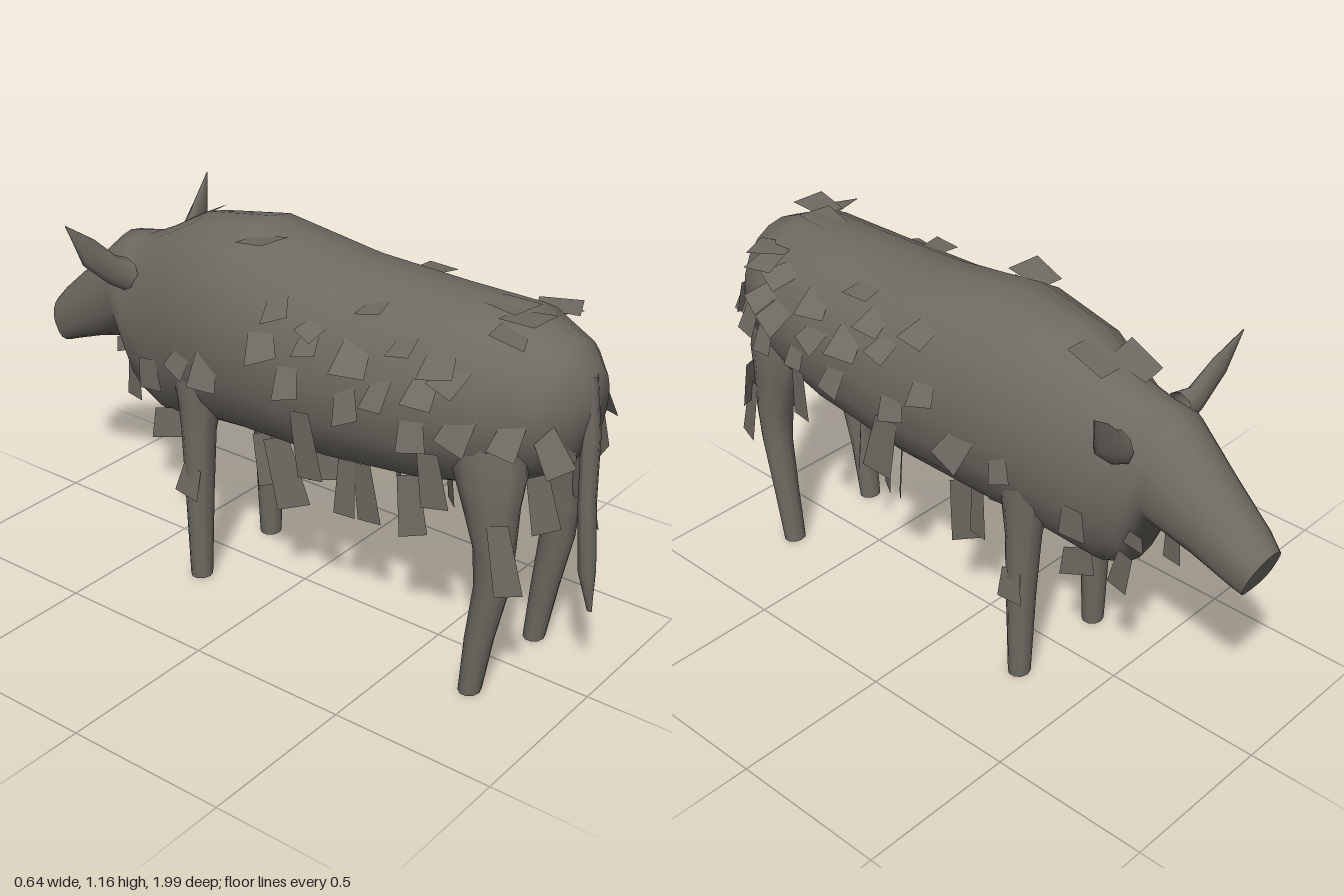
import * as THREE from 'three';
import { mergeGeometries } from 'three/addons/utils/BufferGeometryUtils.js';

const SEG = 20;

// Skin a list of rings (arrays of Vector3) and close the last one with a flat cap.
function loft(rings, flip = false) {
  const pos = [], idx = [];
  const tri = (a, b, c) => (flip ? idx.push(a, c, b) : idx.push(a, b, c));
  const n = rings[0].length;
  const push = (p) => pos.push(p.x, p.y, p.z);
  rings.forEach((r) => r.forEach(push));
  for (let k = 0; k < rings.length - 1; k++) {
    for (let j = 0; j < n; j++) {
      const a = k * n + j, b = k * n + ((j + 1) % n);
      tri(a, b, a + n);
      tri(b, b + n, a + n);
    }
  }
  const last = rings[rings.length - 1], base = pos.length / 3;
  const centre = last.reduce((s, p) => s.add(p), new THREE.Vector3()).divideScalar(n);
  [...last, centre].forEach(push);
  for (let j = 0; j < n; j++) tri(base + j, base + ((j + 1) % n), base + n);
  const g = new THREE.BufferGeometry();
  g.setAttribute('position', new THREE.Float32BufferAttribute(pos, 3));
  g.setIndex(idx);
  g.computeVertexNormals();
  return g;
}

const ringOf = (n, fn) => Array.from({ length: n }, (_, j) => fn((j / n) * Math.PI * 2));

// Upright limb from rows of [x, y, z, radius x, radius z], listed top to bottom.
const limb = (rows, side = 1, n = 10) => loft(rows.map(([x, y, z, rx, rz]) =>
  ringOf(n, (t) => new THREE.Vector3(side * x - rx * Math.sin(t), y, z + rz * Math.cos(t)))));

// Body sections, rump to muzzle: [top z, top y, bottom z, bottom y, half width, roundness].
const SECTIONS = [
  [0.954, 0.88, 0.954, 0.87, 0.001, 1], [0.94, 0.99, 0.93, 0.745, 0.1, 1], [0.88, 1.05, 0.86, 0.67, 0.175, 1],
  [0.74, 1.11, 0.72, 0.6, 0.24, 0.95], [0.5, 1.11, 0.5, 0.55, 0.262, 0.92],
  [0.2, 1.12, 0.2, 0.515, 0.272, 0.92], [-0.12, 1.165, -0.1, 0.505, 0.268, 0.92],
  [-0.36, 1.125, -0.3, 0.48, 0.23, 0.95], [-0.53, 1.03, -0.48, 0.435, 0.17, 1],
  [-0.62, 1.01, -0.57, 0.475, 0.15, 1], [-0.68, 0.995, -0.64, 0.66, 0.135, 0.9],
  [-0.82, 0.865, -0.79, 0.62, 0.106, 0.8], [-0.95, 0.75, -0.91, 0.577, 0.085, 0.7],
  [-0.998, 0.7, -0.945, 0.562, 0.07, 0.65],
];

const bodyRing = ([zt, yt, zb, yb, w, round]) => ringOf(SEG, (t) => {
  const c = Math.cos(t), s = Math.sin(t);
  const x = c < 0 ? Math.sign(s) * Math.abs(s) ** round : s;
  const y = c < 0 ? -(Math.abs(c) ** round) : c;
  return new THREE.Vector3(w * x, (yt + yb) / 2 + (y * (yt - yb)) / 2, (zt + zb) / 2 + (y * (zt - zb)) / 2);
});

// Top, bottom and half width of the body at a given z.
function sectionAt(z) {
  const mid = (s) => (s[0] + s[2]) / 2;
  let i = 0;
  while (i < SECTIONS.length - 2 && mid(SECTIONS[i + 1]) > z) i++;
  const a = SECTIONS[i], b = SECTIONS[i + 1];
  const f = THREE.MathUtils.clamp((mid(a) - z) / (mid(a) - mid(b)), 0, 1);
  return [1, 3, 4].map((k) => a[k] + (b[k] - a[k]) * f);
}

let seed = 7;
const rand = () => ((seed = (seed * 16807) % 2147483647) / 2147483647);
const jitter = (s) => (rand() - 0.5) * 2 * s;

// Tapered flat tuft hanging from root along dir, facing outward, turned by random twist and yaw.
function tuft(root, dir, out, w, h, twist = 0.25, yaw = 0) {
  const g = new THREE.PlaneGeometry(w, h);
  const p = g.attributes.position;
  for (let i = 0; i < 2; i++) p.setX(i, p.getX(i) * 0.75);
  g.translate(0, -h / 2, 0);
  g.rotateZ(jitter(twist));
  g.rotateY(jitter(yaw));
  const y = dir.clone().negate().normalize();
  const x = new THREE.Vector3().crossVectors(y, out).normalize();
  const z = new THREE.Vector3().crossVectors(x, y);
  return g.applyMatrix4(new THREE.Matrix4().makeBasis(x, y, z).setPosition(root));
}

// Tuft rooted on the flank at (z, y): flared on the upper side, hanging plumb below.
function flankTuft(side, z, y, w, h) {
  const [top, bottom, half] = sectionAt(z);
  const hh = (top - bottom) / 2;
  const c = THREE.MathUtils.clamp((y - (top + bottom) / 2) / hh, -0.9, 0.97);
  const s = Math.sqrt(1 - c * c);
  const low = c < -0.15;
  const out = new THREE.Vector3((side * s) / half, c / hh, z > 0.75 ? 2 : 0).normalize();
  const dir = low ? new THREE.Vector3(0, -1, 0.1)
    : new THREE.Vector3(side * c * half, -s * hh, 0.02).normalize().addScaledVector(out, 0.42);
  const root = new THREE.Vector3(side * half * s, (top + bottom) / 2 + c * hh, z).addScaledVector(out, low ? 0.005 : -0.012);
  if (low) out.setY(0);
  return tuft(root, dir, out, w, h, low ? 0.2 : 0.45, c < -0.8 ? 0.8 : 0.2);
}

export function createModel() {
  const model = new THREE.Group();
  const hide = new THREE.MeshStandardMaterial({ color: 0x6e6a62, side: THREE.DoubleSide });
  hide.name = 'greyBrownHide';
  const add = (name, geo) => {
    const m = new THREE.Mesh(geo, hide);
    m.name = name;
    model.add(m);
  };

  // Trunk, neck and head in one skin
  add('body', loft(SECTIONS.map(bodyRing)));

  // Tail
  add('tail', limb([
    [0, 0.97, 0.93, 0.02, 0.02], [0, 0.8, 0.945, 0.033, 0.025], [0, 0.6, 0.95, 0.03, 0.024],
    [0, 0.4, 0.965, 0.026, 0.026], [0.015, 0.265, 0.975, 0.004, 0.008]], 1, 8));

  for (const side of [1, -1]) {
    const label = side > 0 ? 'left' : 'right';
    // Legs, widening into the trunk
    add(label + 'HindLeg', limb([
      [0.15, 0.78, 0.73, 0.075, 0.11], [0.155, 0.7, 0.74, 0.082, 0.112], [0.165, 0.6, 0.755, 0.066, 0.085],
      [0.17, 0.48, 0.775, 0.056, 0.06], [0.17, 0.36, 0.775, 0.048, 0.052],
      [0.174, 0.18, 0.745, 0.041, 0.042], [0.172, 0, 0.722, 0.037, 0.032]], side));
    add(label + 'FrontLeg', limb([
      [0.145, 0.7, -0.275, 0.075, 0.1], [0.155, 0.6, -0.277, 0.063, 0.07], [0.162, 0.5, -0.278, 0.052, 0.054],
      [0.167, 0.3, -0.276, 0.044, 0.045], [0.17, 0, -0.275, 0.036, 0.033]], side));

    // Pointed ears: [x, y, z, half height, half depth, lean]
    const ear = [[0.125, 0.91, -0.58, 0.055, 0.045, 0], [0.17, 0.935, -0.6, 0.042, 0.026, 0.015],
      [0.25, 1.01, -0.615, 0.034, 0.016, 0.025], [0.312, 1.103, -0.64, 0.002, 0.002, 0]];
    add(label + 'Ear', loft(ear.map(([x, y, z, ry, rz, lean]) => ringOf(8, (t) => new THREE.Vector3(
      side * (x - lean * Math.cos(t)), y + ry * Math.cos(t), z + rz * Math.sin(t)))), side < 0));
  }

  // Shaggy coat: flank tufts as [z, y]
  const flank = [
    [0.89, 0.87], [0.81, 0.86], [0.7, 0.86], [0.6, 0.95], [0.5, 1.02], [0.44, 0.94], [0.33, 0.97],
    [0.36, 0.85], [0.25, 1.04], [0.17, 1.0], [0.14, 0.85], [0.06, 1.07], [0.33, 1.08], [-0.14, 0.82],
    [-0.24, 0.79], [0.62, 1.04], [0.73, 1.06], [0.55, 0.84], [0.02, 0.94], [0.67, 0.97]];
  // Long hanging tufts: [z, y, width, length]
  const hanging = [
    [0.57, 0.73, 0.085, 0.16], [0.16, 0.74, 0.1, 0.2], [0.76, 0.67, 0.09, 0.15], [0.83, 0.7, 0.08, 0.17],
    [-0.47, 0.69, 0.09, 0.1], [0.43, 0.53, 0.08, 0.19], [0.31, 0.55, 0.09, 0.18], [0.25, 0.52, 0.07, 0.18],
    [0.0, 0.52, 0.1, 0.23], [-0.06, 0.52, 0.07, 0.17], [-0.43, 0.5, 0.1, 0.1], [-0.6, 0.56, 0.07, 0.13],
    [-0.63, 0.65, 0.08, 0.05]];
  const coat = [];
  for (const side of [1, -1]) {
    const j = side > 0 ? 0 : 0.03;
    flank.forEach(([z, y]) => coat.push(
      flankTuft(side, z + jitter(j), y + jitter(j), 0.09 + jitter(0.015), 0.105 + jitter(0.02))));
    hanging.forEach(([z, y, w, h]) => coat.push(flankTuft(side, z + jitter(j), y, w, h)));
    // Tufts on the legs
    coat.push(tuft(new THREE.Vector3(side * 0.205, 0.39, -0.27), new THREE.Vector3(side * 0.15, -1, 0), new THREE.Vector3(side, 0, 0), 0.09, 0.1));
    coat.push(tuft(new THREE.Vector3(side * 0.22, 0.58, 0.81), new THREE.Vector3(side * 0.12, -1, 0.05), new THREE.Vector3(side, 0, 0.3), 0.08, 0.2));
  }
  // Nearly flat tufts along the back, swept to the rear: [x, y, z, rise]
  const up = new THREE.Vector3(0, 1, 0);
  [[0, 1.105, 0.63, 0.03], [-0.06, 1.1, 0.71, 0.1], [0.14, 1.06, 0.68, -0.05], [-0.12, 1.13, -0.12, 0.2],
    [0.05, 1.06, -0.48, 0.5], [-0.06, 1.03, -0.54, 0.5]]
    .forEach(([x, y, z, rise]) =>
      coat.push(tuft(new THREE.Vector3(x, y, z), new THREE.Vector3(x * 2, rise, 1), up, 0.11, 0.12)));
  // Rump tufts beside the tail
  [[-0.09, 0.84, 0.92], [0.07, 0.81, 0.93], [0.15, 0.89, 0.88]].forEach(([x, y, z]) =>
    coat.push(tuft(new THREE.Vector3(x, y, z), new THREE.Vector3(x * 0.4, -1, 0.1), new THREE.Vector3(x, 0, 1), 0.085, 0.1)));
  // Broad tuft behind the left thigh
  coat.push(tuft(new THREE.Vector3(0.215, 0.66, 0.81), new THREE.Vector3(0.1, -1, 0.08), new THREE.Vector3(0.3, 0, 1), 0.1, 0.15, 0.1));
  add('shaggyCoat', mergeGeometries(coat));

  return model;
}
